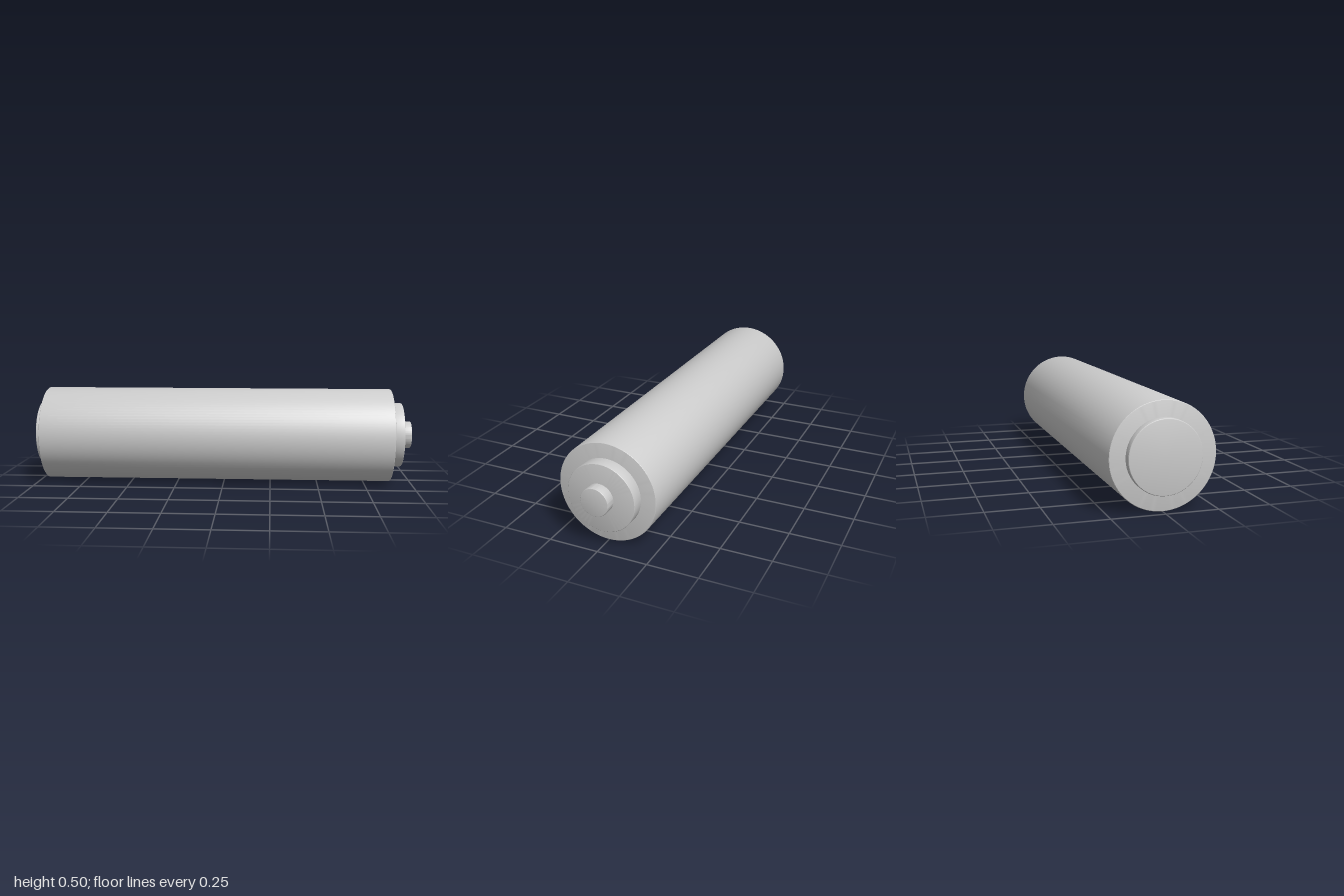
import * as THREE from 'three';
import { toCreasedNormals } from 'three/addons/utils/BufferGeometryUtils.js';

const material = new THREE.MeshStandardMaterial({ color: 0xcccccc });

// Solid disc or cylinder lying along x from x0 to x1, with small rounded rims
function roundedCylinder(name, x0, x1, radius, bevel, y, z) {
  const steps = 3;
  const profile = [new THREE.Vector2(0, x0)];
  for (let i = 0; i <= steps; i++) {
    const a = (i / steps) * Math.PI / 2;
    profile.push(new THREE.Vector2(radius - bevel + bevel * Math.sin(a), x0 + bevel - bevel * Math.cos(a)));
  }
  for (let i = 0; i <= steps; i++) {
    const a = (i / steps) * Math.PI / 2;
    profile.push(new THREE.Vector2(radius - bevel + bevel * Math.cos(a), x1 - bevel + bevel * Math.sin(a)));
  }
  profile.push(new THREE.Vector2(0, x1));
  const geometry = toCreasedNormals(new THREE.LatheGeometry(profile, 96), 0.3);
  geometry.rotateZ(-Math.PI / 2);
  const mesh = new THREE.Mesh(geometry, material);
  mesh.name = name;
  mesh.position.set(0, y, z);
  return mesh;
}

export function createModel() {
  const group = new THREE.Group();
  group.name = 'battery';
  group.add(
    // Main casing
    roundedCylinder('casing', -0.962, 0.89, 0.248, 0.005, 0.248, 0),
    // Stepped collar and contact at the positive end
    roundedCylinder('collar', 0.87, 0.95, 0.171, 0.005, 0.25, -0.002),
    roundedCylinder('positiveContact', 0.93, 1, 0.071, 0.004, 0.252, 0.004),
    // Flat contact at the negative end
    roundedCylinder('negativeContact', -1, -0.94, 0.171, 0.005, 0.25, -0.002),
  );
  return group;
}
